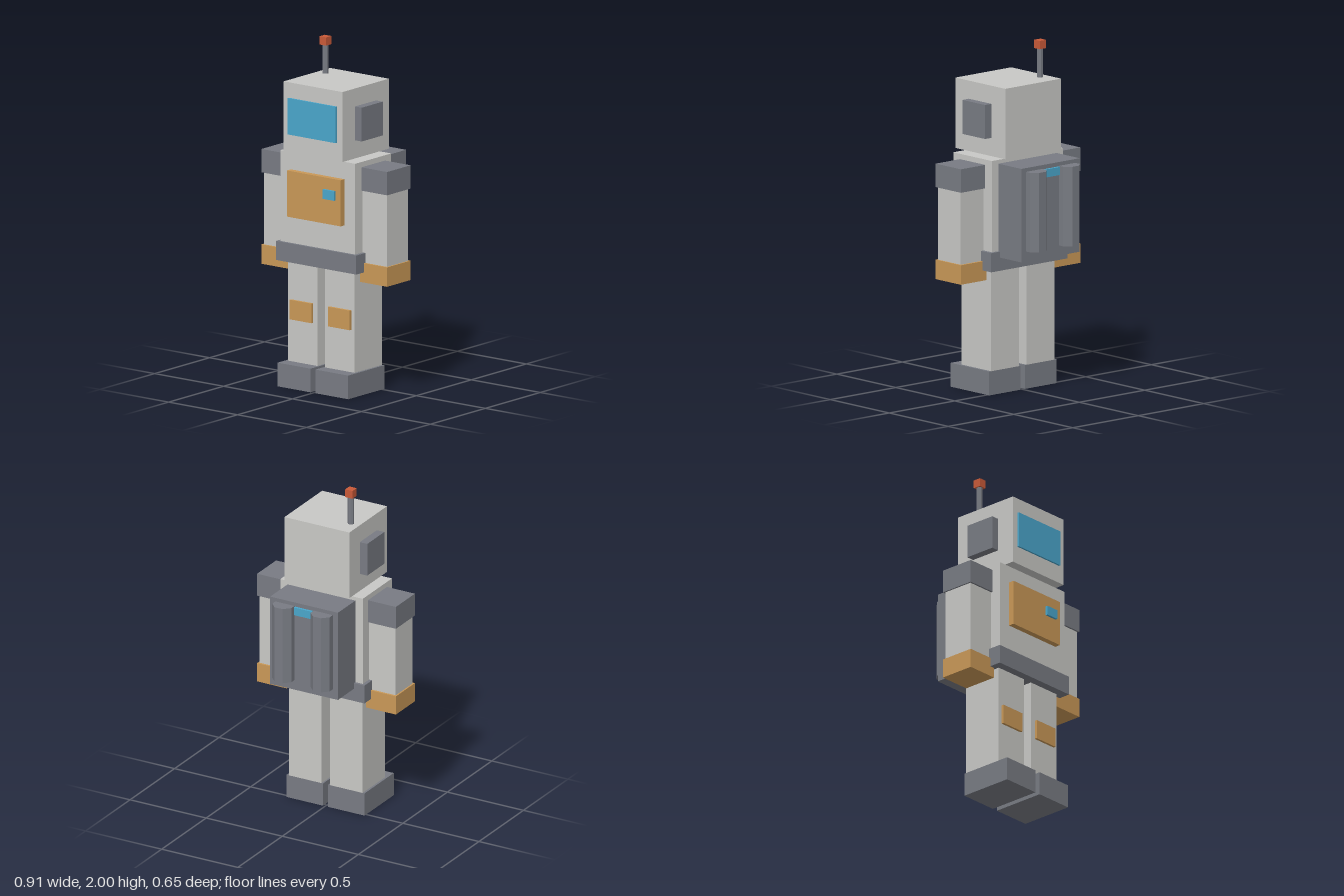
import * as THREE from 'three';

const mat = (name, color) => {
  const m = new THREE.MeshStandardMaterial({ color });
  m.name = name;
  return m;
};

export function createModel() {
  const shell = mat('lightGreyShell', 0xc8c8c5);
  const trim = mat('darkGreyTrim', 0x787b83);
  const amber = mat('amberPanel', 0xc99857);
  const glass = mat('blueGlass', 0x4aa6cb);
  const red = mat('redLamp', 0xc95a38);

  const robot = new THREE.Group();
  robot.name = 'robot';

  const add = (name, geometry, material, x, y, z) => {
    const mesh = new THREE.Mesh(geometry, material);
    mesh.name = name;
    mesh.position.set(x, y, z);
    robot.add(mesh);
  };

  // Box given by its extents on each axis
  const box = (name, material, [x0, x1], [y0, y1], [z0, z1]) =>
    add(name, new THREE.BoxGeometry(x1 - x0, y1 - y0, z1 - z0), material,
      (x0 + x1) / 2, (y0 + y1) / 2, (z0 + z1) / 2);

  // Upright faceted eight-sided post with flats facing the axes
  const post = (name, material, halfWidth, x, [y0, y1], z) => {
    const r = halfWidth / Math.cos(Math.PI / 8);
    const g = new THREE.CylinderGeometry(r, r, y1 - y0, 8).rotateY(Math.PI / 8).toNonIndexed();
    g.computeVertexNormals();
    add(name, g, material, x, (y0 + y1) / 2, z);
  };

  // Head
  box('head', shell, [-0.213, 0.213], [1.377, 1.785], [-0.11, 0.313]);
  box('visor', glass, [-0.175, 0.173], [1.483, 1.695], [0.31, 0.324]);
  box('neck', shell, [-0.1, 0.1], [1.36, 1.38], [0.0, 0.2]);
  post('antennaRod', trim, 0.017, -0.156, [1.78, 1.955], 0.005);
  box('antennaLamp', red, [-0.18, -0.132], [1.952, 2.0], [-0.019, 0.029]);

  // Torso
  box('torso', shell, [-0.272, 0.27], [0.83, 1.367], [-0.06, 0.268]);
  box('chestPanel', amber, [-0.197, 0.192], [0.997, 1.266], [0.26, 0.303]);
  box('chestButton', glass, [0.073, 0.155], [1.143, 1.198], [0.3, 0.317]);
  box('belt', trim, [-0.292, 0.29], [0.727, 0.838], [-0.076, 0.284]);

  // Backpack
  box('backpack', trim, [-0.223, 0.222], [0.803, 1.345], [-0.256, -0.055]);
  box('backpackLight', glass, [-0.06, 0.058], [1.273, 1.32], [-0.271, -0.25]);

  // Paired parts: s is +1 for the left side and -1 for the right
  for (const s of [1, -1]) {
    const side = s > 0 ? 'left' : 'right';
    const pair = (name, material, a, b, y, z, shift = 0) =>
      box(side + name, material, (s > 0 ? [a, b] : [-b, -a]).map((v) => v + shift), y, z);

    pair('Ear', trim, 0.2, 0.262, [1.483, 1.68], [0.007, 0.199]);
    pair('Shoulder', trim, 0.26, 0.456, [1.2, 1.336], [-0.003, 0.211]);
    pair('Arm', shell, 0.262, 0.447, [0.77, 1.21], [0.01, 0.2]);
    pair('Hand', amber, 0.26, 0.456, [0.667, 0.78], [-0.003, 0.211]);

    // Legs sit slightly off the centre line
    pair('Leg', shell, 0.028, 0.242, [0.138, 0.74], [-0.018, 0.234], -0.004);
    pair('KneePad', amber, 0.06, 0.218, [0.385, 0.499], [0.23, 0.249], -0.003);
    pair('Foot', trim, 0.017, 0.256, [0, 0.138], [-0.018, 0.31], -0.003);

    post(side + 'Tank', trim, 0.0625, s * 0.126 - 0.001, [0.862, 1.323], -0.266);
  }

  return robot;
}
